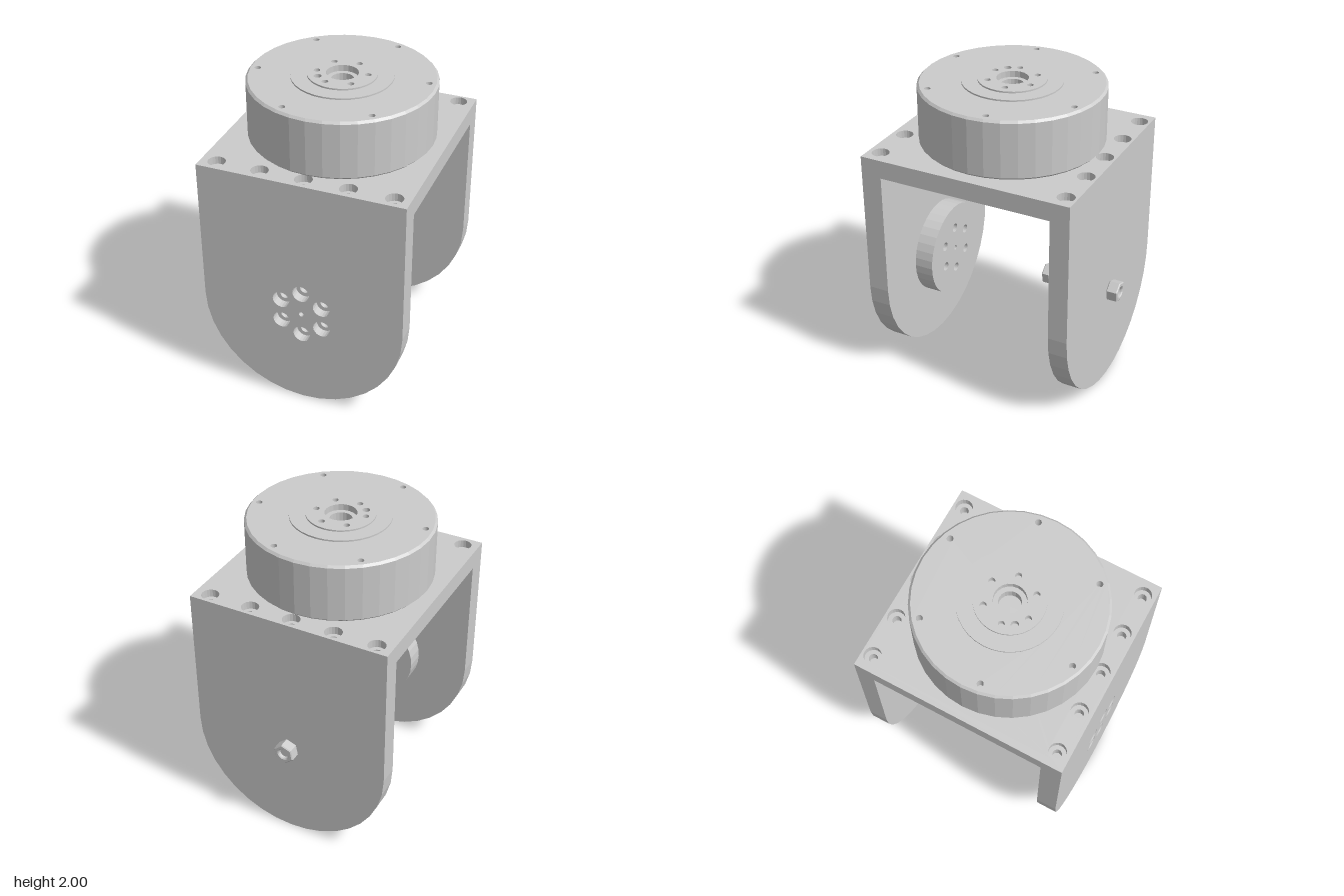
import * as THREE from 'three';

const SEG = 36, AXIS_Z = 0.037, PIVOT_Y = 0.665;

const metal = new THREE.MeshStandardMaterial({ color: 0xcccccc, flatShading: true, side: THREE.DoubleSide });

// Points of a regular polygon / circle
function ring(x, y, r, n = 20, turn = 0) {
  return Array.from({ length: n }, (_, i) => {
    const a = turn + (i / n) * Math.PI * 2;
    return new THREE.Vector2(x + r * Math.cos(a), y + r * Math.sin(a));
  });
}

// Evenly spaced hole centres on a bolt circle
function boltCircle(radius, startDeg, count = 6) {
  return ring(0, 0, radius, count, THREE.MathUtils.degToRad(startDeg));
}

// Extruded slab; holes are [x, y, radius]
function slab(outline, holes, depth, bevel = 0) {
  const shape = new THREE.Shape(outline);
  for (const [x, y, r] of holes) shape.holes.push(new THREE.Path(ring(x, y, r)));
  return new THREE.ExtrudeGeometry(shape, {
    depth: depth - 2 * bevel, bevelEnabled: bevel > 0, bevelSize: bevel,
    bevelThickness: bevel, bevelOffset: -bevel, bevelSegments: 1,
  }).translate(0, 0, bevel);
}

function lathe(points, n = SEG) {
  return new THREE.LatheGeometry(points.map(([x, y]) => new THREE.Vector2(x, y)), n);
}

export function createModel() {
  const model = new THREE.Group();
  const add = (name, geometry, parent = model) => {
    const mesh = new THREE.Mesh(geometry, metal);
    mesh.name = name;
    parent.add(mesh);
    return mesh;
  };
  const group = (name, x, y, z) => {
    const g = new THREE.Group();
    g.name = name;
    g.position.set(x, y, z);
    model.add(g);
    return g;
  };
  // Horizontal slab between two heights (outline y runs towards -z)
  const layer = (name, outline, holes, y0, y1, parent) =>
    add(name, slab(outline, holes, y1 - y0).rotateX(-Math.PI / 2).translate(0, y0, 0), parent);

  // Arms: straight sides with a round lower end
  const armOutline = [new THREE.Vector2(0.66, 1.48), new THREE.Vector2(-0.66, 1.48)];
  for (let i = 0; i <= 18; i++) {
    const a = Math.PI * (1 + i / 18);
    armOutline.push(new THREE.Vector2(0.66 * Math.cos(a), 0.66 + 0.66 * Math.sin(a)));
  }
  const screwHoles = (r) => [
    [0, PIVOT_Y, 0.016],
    ...boltCircle(0.155, 30).map((p) => [p.x, p.y + PIVOT_Y, r]),
  ];
  add('frontArmInner', slab(armOutline, screwHoles(0.03), 0.075)).position.z = 0.6;
  add('frontArmOuter', slab(armOutline, screwHoles(0.056), 0.06)).position.z = 0.675;
  add('backArm', slab(armOutline, [[0, PIVOT_Y, 0.042]], 0.125)).position.z = -0.66;

  // Pivot disc on the inside of the front arm
  add('pivotDisc', slab(ring(0, PIVOT_Y, 0.315, SEG), screwHoles(0.03), 0.125)).position.z = 0.475;

  // Top plate with two rows of counterbored holes
  const plate = [[-0.66, -0.735], [0.66, -0.735], [0.66, 0.66], [-0.66, 0.66]]
    .map(([x, y]) => new THREE.Vector2(x, y));
  const rows = (r) => [-0.56, -0.28, 0, 0.28, 0.56].flatMap((x) => [[x, 0.59, r], [x, -0.655, r]]);
  const drumHoles = boltCircle(0.527, 10).map((p) => [p.x, p.y, 0.02]);
  const underHoles = drumHoles.map(([x, y, r]) => [x, y - AXIS_Z, r]);
  layer('topPlateLower', plate, [...rows(0.028), ...underHoles], 1.48, 1.55);
  layer('topPlateUpper', plate, rows(0.055), 1.55, 1.6);

  // Rotary drum on top of the plate
  const drum = group('drum', 0, 0, AXIS_Z);
  add('drumWall', lathe([[0, 1.6], [0.572, 1.6], [0.586, 1.614], [0.586, 1.966], [0.572, 1.98]]), drum);
  add('drumFloor', lathe([[0.57, 1.9], [0, 1.9]]), drum);
  layer('drumCap', ring(0, 0, 0.572, SEG), [...drumHoles, [0, 0, 0.3]], 1.9, 1.98, drum);
  layer('drumFlange', ring(0, 0, 0.315, SEG), [[0, 0, 0.205]], 1.9, 1.99, drum);

  // Output hub with a stepped bore, screw holes and one dowel hole
  const hubHoles = [
    ...boltCircle(0.157, 10).map((p) => [p.x, p.y, 0.02]),
    [-0.122, -0.097, 0.024],
  ];
  layer('hubBase', ring(0, 0, 0.215, SEG), [[0, 0, 0.07]], 1.9, 1.96, drum);
  layer('hubTop', ring(0, 0, 0.215, SEG), [...hubHoles, [0, 0, 0.1]], 1.96, 2.0, drum);

  // Round boss under the plate
  add('lowerBoss', lathe([[0, 1.415], [0.455, 1.415], [0.465, 1.425], [0.465, 1.48]]), drum);

  // Bolt through the back arm, closed by a nut
  const bolt = group('bolt', 0, PIVOT_Y, 0);
  const hex = ring(0, 0, 0.07, 6, Math.PI / 9);
  add('boltHead', slab(hex, [], 0.055, 0.006), bolt).position.z = -0.26;
  const profile = [[0.035, 0.255], [0.035, 0.475]];
  for (let z = 0.475; z < 0.7; z += 0.014) profile.push([0.028, z + 0.003], [0.035, z + 0.01]);
  profile.push([0.028, 0.715], [0, 0.715]);
  add('boltShank', lathe(profile, 20).rotateX(-Math.PI / 2), bolt);
  add('nut', slab(hex, [[0, 0, 0.034]], 0.075, 0.006), bolt).position.z = -0.735;

  return model;
}
